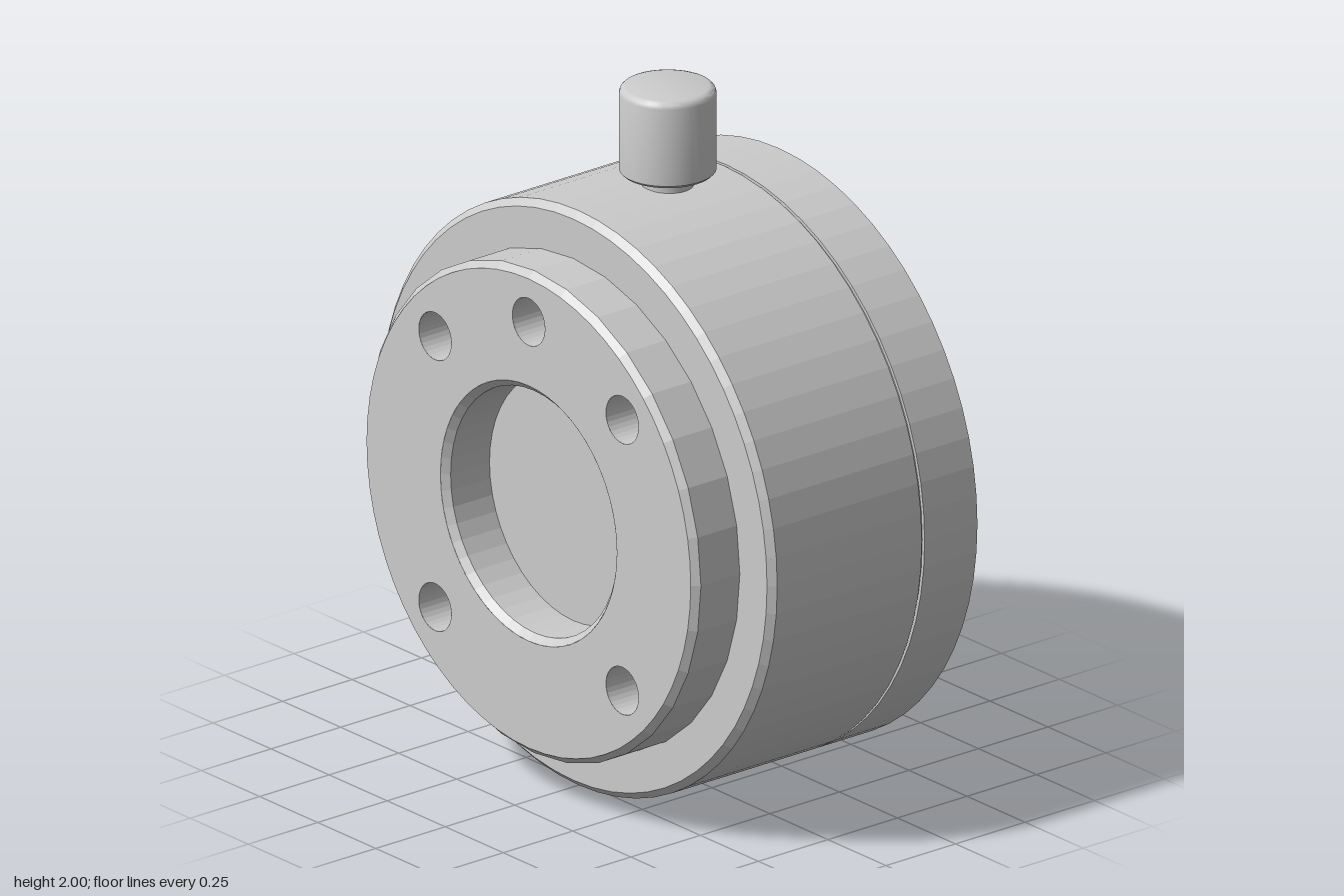
import * as THREE from 'three';
import { toCreasedNormals } from 'three/addons/utils/BufferGeometryUtils.js';

const CENTER_Y = 0.855;
const R = 0.855, R_IN = 0.81;       // rear ring outer and inner radius
const SEG = (Math.PI * 2) / 64;     // one facet of the body
const flat = new THREE.MeshStandardMaterial({ color: 0xcccccc, flatShading: true, side: THREE.DoubleSide });
const smooth = new THREE.MeshStandardMaterial({ color: 0xcccccc });

// Profile of [radius, z] turned around the z axis, starting at the bottom
function turned(name, profile, sides, start = 0, length = Math.PI * 2) {
  const geo = new THREE.LatheGeometry(profile.map(p => new THREE.Vector2(p[0], p[1])), sides, start, length);
  geo.rotateX(Math.PI / 2);
  const mesh = new THREE.Mesh(geo, flat);
  mesh.name = name;
  return mesh;
}

// Smooth part of [radius, y] turned around the y axis
function turnedSmooth(name, profile) {
  const geo = new THREE.LatheGeometry(profile.map(p => new THREE.Vector2(p[0], p[1])), 40);
  const mesh = new THREE.Mesh(toCreasedNormals(geo, 0.6), smooth);
  mesh.name = name;
  return mesh;
}

function circlePath(x, y, r) {
  const path = new THREE.Path();
  path.absarc(x, y, r, 0, Math.PI * 2, true);
  return path;
}

// Wall patch with a round hole, bent onto the bottom of a cylinder
function bentPatch(name, radius, z0, z1, holeZ, holeR) {
  const steps = [-2, -1, 0, 1, 2].map(i => i * SEG * radius);
  const outline = [
    ...steps.map(u => new THREE.Vector2(u, z0)),
    ...steps.reverse().map(u => new THREE.Vector2(u, z1)),
  ];
  const shape = new THREE.Shape(outline);
  shape.holes.push(circlePath(0, holeZ, holeR));
  const geo = new THREE.ShapeGeometry(shape, 24);
  const pos = geo.attributes.position;
  for (let i = 0; i < pos.count; i++) {
    const a = pos.getX(i) / radius, z = pos.getY(i);
    pos.setXYZ(i, radius * Math.sin(a), -radius * Math.cos(a), z);
  }
  geo.computeVertexNormals();
  const mesh = new THREE.Mesh(geo, flat);
  mesh.name = name;
  return mesh;
}

export function createModel() {
  const model = new THREE.Group();
  model.name = 'housing';
  const body = new THREE.Group();
  body.name = 'body';
  body.position.y = CENTER_Y;
  model.add(body);

  // Main drum with chamfered front edge and the narrow groove behind it
  body.add(turned('drum', [
    [R, -0.26], [0.845, -0.26], [0.845, -0.25], [R, -0.25],
    [R, 0.27], [0.835, 0.29], [0, 0.29],
  ], 64));
  body.add(turned('rearRecessFloor', [[0, -0.31], [R_IN, -0.31]], 64));

  // Rear ring, left open for four facets at the bottom
  body.add(turned('rearRing', [
    [R_IN, -0.31], [R_IN, -0.45], [R, -0.45], [R, -0.26],
  ], 60, 2 * SEG, 60 * SEG));

  // Bottom of the rear ring with a countersunk screw hole
  const screwZ = -0.38;
  body.add(turned('rearRingLip', [[R_IN, -0.45], [R, -0.45]], 4, -2 * SEG, 4 * SEG));
  body.add(bentPatch('rearRingOuterWall', R, -0.45, -0.26, screwZ, 0.06));
  body.add(bentPatch('rearRingInnerWall', R_IN, -0.45, -0.31, screwZ, 0.032));
  const sink = new THREE.Mesh(new THREE.CylinderGeometry(0.032, 0.06, R - R_IN, 24, 1, true), flat);
  sink.name = 'screwHole';
  sink.position.set(0, -(R + R_IN) / 2, screwZ);
  body.add(sink);

  // Front flange: chamfered rim, face with bolt holes, central bore
  body.add(turned('flangeRim', [[0.718, 0.29], [0.718, 0.43], [0.698, 0.45]], 32));
  body.add(turned('bore', [[0.38, 0.45], [0.36, 0.43], [0.36, 0.29]], 48));

  const face = new THREE.Shape();
  face.absarc(0, 0, 0.698, 0, Math.PI * 2, false);
  face.holes.push(circlePath(0, 0, 0.38));
  const boltAngles = [45, 90, 135, 225, 315];
  for (const deg of boltAngles) {
    const a = THREE.MathUtils.degToRad(deg);
    const x = 0.57 * Math.cos(a), y = 0.57 * Math.sin(a);
    face.holes.push(circlePath(x, y, 0.07));
    const wall = new THREE.CylinderGeometry(0.07, 0.07, 0.16, 32, 1, true);
    wall.rotateX(Math.PI / 2);
    const hole = new THREE.Mesh(wall, flat);
    hole.name = 'boltHole';
    hole.position.set(x, y, 0.37);
    body.add(hole);
  }
  const faceMesh = new THREE.Mesh(new THREE.ShapeGeometry(face, 32), flat);
  faceMesh.name = 'flangeFace';
  faceMesh.position.z = 0.45;
  body.add(faceMesh);

  // Locking knob on its stem
  const knob = new THREE.Group();
  knob.name = 'lockingKnob';
  knob.position.z = -0.05;
  knob.add(turnedSmooth('knobStem', [[0, 1.68], [0.073, 1.68], [0.073, 1.75]]));
  knob.add(turnedSmooth('knobCap', [
    [0, 1.745], [0.127, 1.745], [0.135, 1.753], [0.135, 1.98],
    [0.132, 1.99], [0.125, 1.997], [0.115, 2], [0, 2],
  ]));
  model.add(knob);

  return model;
}
